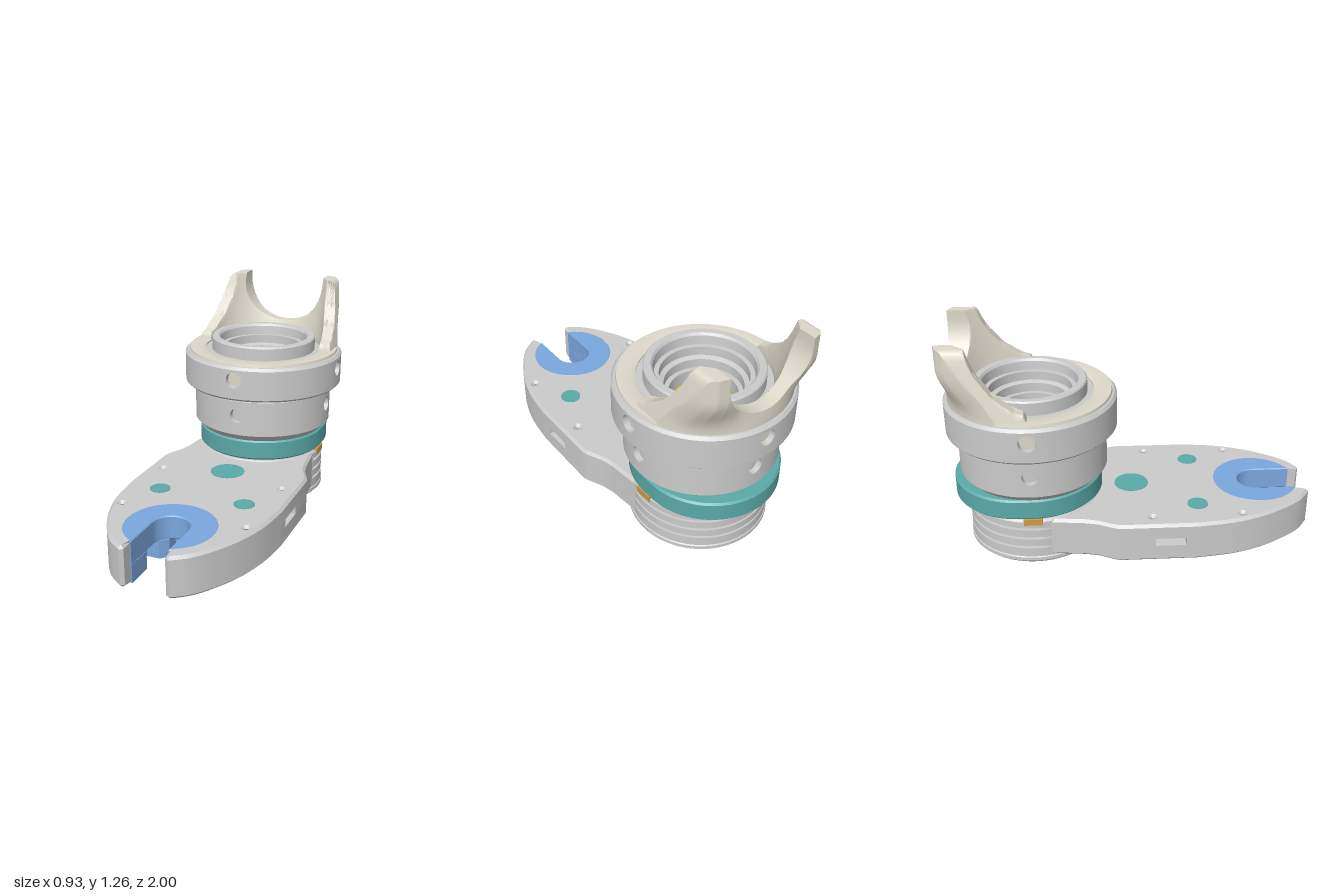
import * as THREE from 'three';
import { toCreasedNormals } from 'three/addons/utils/BufferGeometryUtils.js';

const CZ = -0.54; // z of the tower axis
const mat = (color) => new THREE.MeshStandardMaterial({ color, side: THREE.DoubleSide });
const GREY = mat(0xcccccc), TEAL = mat(0x5aaaa7), BLUE = mat(0x7ba8de), BEIGE = mat(0xddd8ca);
const DARKRED = mat(0x7a181a), RED = mat(0xe23434), YELLOW = mat(0xcbbf3c), ORANGE = mat(0xd39a45);

function mesh(name, geometry, material, parent) {
  const m = new THREE.Mesh(toCreasedNormals(geometry, 0.5), material);
  m.name = name;
  parent.add(m);
  return m;
}

// Plan shape (x, z) extruded between two heights; bevel keeps the outline
function slab(shape, y0, y1, b = 0) {
  const g = new THREE.ExtrudeGeometry(shape, {
    depth: y1 - y0 - 2 * b, bevelEnabled: b > 0, bevelSize: b, bevelThickness: b,
    bevelOffset: -b, bevelSegments: 1, curveSegments: 40,
  });
  return g.rotateX(Math.PI / 2).translate(0, y1 - b, 0);
}

const lathe = (pts, start = 0, length = Math.PI * 2, seg = 96) =>
  new THREE.LatheGeometry(pts.map(([r, y]) => new THREE.Vector2(r, y)), seg, start, length);

function interp(table, x) {
  if (x <= table[0][0]) return table[0][1];
  for (let i = 1; i < table.length; i++) {
    const [a, u] = table[i - 1], [b, v] = table[i];
    if (x <= b) return u + (v - u) * (x - a) / (b - a);
  }
  return table[table.length - 1][1];
}

// Arm outline with keyhole mouth, optional side notches and screw holes
function armShape(notch, holeR) {
  const curve = new THREE.SplineCurve([[0.13, 0.993], [0.22, 0.925], [0.3, 0.815], [0.37, 0.68],
    [0.42, 0.52], [0.445, 0.33]].map((p) => new THREE.Vector2(...p))).getPoints(30).map((v) => [v.x, v.y]);
  const half = [[0.11, 0.9005], [0.11, 0.98], ...curve,
    ...(notch ? [[0.445, 0.27], [0.36, 0.27], [0.36, 0.105], [0.445, 0.105]] : []),
    [0.445, -0.08], [0.435, -0.115], [0.395, -0.2], [0.378, -0.27], [0.362, -0.42]];
  const s = new THREE.Shape();
  half.forEach(([x, z], i) => (i ? s.lineTo(x, z) : s.moveTo(x, z)));
  s.absarc(0, CZ, 0.345, 0, -Math.PI, true);
  [...half].reverse().forEach(([x, z]) => s.lineTo(-x, z));
  s.absarc(0, 0.71, 0.22, Math.PI * 2 / 3, Math.PI * 7 / 3, false);
  for (const [x, z] of [[0.36, 0.095], [0.35, 0.58]])
    for (const k of [-1, 1]) s.holes.push(new THREE.Path().absarc(k * x, z, holeR, 0, Math.PI * 2));
  return s;
}

// Round insert with an open slot, optionally with cross-shaped pockets
function insertShape(cross) {
  const s = new THREE.Shape(), a = Math.asin(0.1 / 0.24), zm = 0.71 + 0.24 * Math.cos(a);
  s.moveTo(0.1, zm);
  s.absarc(0, 0.71, 0.24, Math.PI / 2 - a, Math.PI / 2 + a - Math.PI * 2, true);
  if (cross) {
    const h = [[0.1, 0.78], [0.16, 0.78], [0.16, 0.67], [0.09, 0.67], [0.05, 0.63], [0.05, 0.56], [0.02, 0.56], [0, 0.59]];
    h.forEach(([x, z]) => s.lineTo(-x, z));
    [...h].reverse().forEach(([x, z]) => s.lineTo(x, z));
  } else s.absarc(0, 0.71, 0.1, Math.PI, Math.PI * 2, false);
  return s;
}

// Cylindrical wall with four round side holes and a sleeve behind them
function drilledWall(name, r, y0, y1, holeY, holeR, sleeve, parent) {
  const w = 0.075, a = w / r, depth = 0.03;
  const s = new THREE.Shape();
  s.moveTo(-w, y0);
  for (let i = 1; i <= 8; i++) s.lineTo(-w + w * i / 4, y0);
  for (let i = 0; i <= 8; i++) s.lineTo(w - w * i / 4, y1);
  s.holes.push(new THREE.Path().absarc(0, holeY, holeR, 0, Math.PI * 2));
  const panel = new THREE.ExtrudeGeometry(s, { depth, bevelEnabled: false, curveSegments: 24 });
  const p = panel.attributes.position, n = panel.attributes.normal;
  for (let i = 0; i < p.count; i++) {
    const t = p.getX(i) / r, rr = r - depth + p.getZ(i), nz = n.getZ(i);
    p.setXYZ(i, rr * Math.sin(t), p.getY(i), rr * Math.cos(t));
    if (Math.abs(nz) > 0.5) n.setXYZ(i, Math.sin(t) * nz, 0, Math.cos(t) * nz);
  }
  for (let k = 0; k < 4; k++) {
    const m = new THREE.Mesh(panel, GREY);
    m.name = name + 'HolePanel';
    m.rotation.y = k * Math.PI / 2;
    parent.add(m);
    mesh(name + 'Wall', lathe([[r, y0], [r, y1]], k * Math.PI / 2 + a, Math.PI / 2 - 2 * a, 24), GREY, parent);
  }
  mesh(name + 'Sleeve', lathe([[r - depth, y0], [r - depth, y1]]), sleeve, parent);
}

// Two-horned saddle, lofted over slices in x
function saddleGeometry() {
  const rise = [[0.09, 0.895], [-0.45, 0.905], [-0.6, 0.95], [-0.7, 1.02], [-0.78, 1.125], [-0.81, 1.19], [-0.83, 1.255]]
    .map(([z, y]) => [-z, y]).sort((p, q) => p[0] - q[0]);
  const back = [[0, -0.965], [0.15, -0.967], [0.2, -0.982], [0.25, -0.982], [0.3, -0.968], [0.34, -0.925], [0.37, -0.84], [0.412, -0.7]];
  const crest = [[0.25, 1.255], [0.315, 1.253], [0.335, 1.238], [0.347, 1.2], [0.412, 0.9]];
  const side = [];
  for (let i = 0; i <= 24; i++) side.push([0.25 * Math.sin(i / 24 * Math.PI / 2), 1.215 - 0.25 * Math.cos(i / 24 * Math.PI / 2)]);
  for (let i = 0; i <= 24; i++) { const x = 0.25 + 0.162 * i / 24; side.push([x, interp(crest, x)]); }
  const slices = [...side.slice(1).reverse().map(([x, t]) => [-x, t]), ...side];
  const M = 40, K = 12, L = M + K + 2, pos = [], idx = [];
  for (const [x, top] of slices) {
    const ax = Math.abs(x);
    const zf = CZ - Math.sqrt(Math.max(0, 0.34 ** 2 - x * x)), zBase = CZ - Math.sqrt(0.44 ** 2 - x * x);
    const zAt = (y) => zBase + (interp(back, ax) - zBase) * THREE.MathUtils.smoothstep(y, 0.89, 1.13);
    const zb = zAt(top);
    pos.push(x, 0.885, zf);
    let y = 0;
    for (let i = 0; i <= M; i++) {
      const z = zf + (zb - zf) * i / M;
      y = Math.min(interp(rise, -z), top, 0.9 + (zf - z) * 3);
      pos.push(x, y, z);
    }
    for (let i = 1; i <= K; i++) {
      const yy = y + (0.885 - y) * i / K;
      pos.push(x, yy, zAt(yy));
    }
  }
  for (let s = 0; s < slices.length - 1; s++) for (let i = 0; i < L; i++) {
    const a = s * L + i, b = s * L + (i + 1) % L;
    idx.push(a, a + L, b, b, a + L, b + L);
  }
  const g = new THREE.BufferGeometry();
  g.setAttribute('position', new THREE.Float32BufferAttribute(pos, 3));
  g.setIndex(idx);
  return g;
}

export function createModel() {
  const model = new THREE.Group();
  const arm = new THREE.Group(), tower = new THREE.Group();
  arm.name = 'arm';
  tower.name = 'tower';
  tower.position.z = CZ;
  model.add(arm, tower);

  // Flat arm in layers, the middle one notched, with chamfered faces
  mesh('armLower', slab(armShape(false, 0.02), 0.085, 0.165), GREY, arm);
  mesh('armMiddle', slab(armShape(true, 0.02), 0.165, 0.21), GREY, arm);
  mesh('armUpper', slab(armShape(false, 0.02), 0.21, 0.28), GREY, arm);
  for (const y of [0.085, 0.28]) mesh('armChamfer', slab(armShape(false, 0.012), y - 0.015, y + 0.015, 0.015), GREY, arm);

  // Slotted insert and round pins
  mesh('insertUpper', slab(insertShape(false), 0.165, 0.297, 0.006), BLUE, arm);
  mesh('insertLower', slab(insertShape(true), 0.068, 0.168), BLUE, arm);
  for (const [x, z, r] of [[0, 0, 0.095], [0.245, 0.35, 0.056], [-0.245, 0.35, 0.056]])
    mesh('pin', new THREE.CylinderGeometry(r, r, 0.23, 48).translate(x, 0.1825, z), TEAL, arm);
  for (const k of [-1, 1])
    mesh('clip', new THREE.BoxGeometry(0.06, 0.035, 0.1).translate(k * 0.345, 0.291, CZ), ORANGE, arm);

  // Grooved round end of the arm and foot
  const grooves = [];
  for (const y of [0.13, 0.187, 0.245])
    grooves.push([0.37, y - 0.007], [0.35, y - 0.007], [0.35, y + 0.007], [0.37, y + 0.007]);
  mesh('groovedHub', lathe([[0, 0.03], [0.36, 0.03], [0.375, 0.045], [0.375, 0.065], [0.37, 0.07], ...grooves,
    [0.37, 0.288], [0.36, 0.3], [0.35, 0.3], [0.35, 0.32], [0, 0.32]]), GREY, tower);
  mesh('footPlate', lathe([[0, 0], [0.25, 0], [0.345, 0.027], [0.35, 0.035], [0, 0.035]]), DARKRED, tower);
  for (const [x, z] of [[0, 0], [0.13, 0.13], [-0.13, 0.13], [0.13, -0.13], [-0.13, -0.13]])
    mesh('footScrew', new THREE.CylinderGeometry(0.022, 0.022, 0.01, 24).translate(x, 0.003, z), RED, tower);

  // Eccentric disc
  const cam = new THREE.Shape();
  cam.absarc(0, 0, 0.375, 0, Math.PI, false);
  cam.absarc(0, -0.065, 0.375, Math.PI, Math.PI * 2, false);
  mesh('eccentricDisc', slab(cam, 0.31, 0.427, 0.01), TEAL, tower);

  // Lower collar and upper ring
  mesh('collarBase', lathe([[0, 0.425], [0.365, 0.425], [0.405, 0.467]]), GREY, tower);
  drilledWall('collar', 0.405, 0.467, 0.67, 0.583, 0.043, GREY, tower);
  mesh('collarTop', lathe([[0.405, 0.67], [0.395, 0.68], [0.365, 0.68], [0.365, 0.69], [0.45, 0.69], [0.463, 0.703]]), GREY, tower);
  drilledWall('ring', 0.463, 0.703, 0.87, 0.81, 0.045, BEIGE, tower);
  mesh('ringTop', lathe([[0.463, 0.87], [0.45, 0.886], [0.3, 0.886]]), GREY, tower);

  // Saddle with two horns
  mesh('saddleRing', lathe([[0.44, 0.88], [0.435, 0.9], [0.36, 0.902], [0.34, 0.893], [0.34, 0.88]]), BEIGE, tower);
  mesh('saddleHorns', saddleGeometry(), BEIGE, model);

  // Stepped cup with the central fitting
  mesh('cup', lathe([[0.305, 0.88], [0.305, 0.955], [0.298, 0.963], [0.265, 0.963], [0.255, 0.95], [0.25, 0.9], [0.225, 0.9],
    [0.225, 0.85], [0.2, 0.84], [0.2, 0.79], [0.175, 0.79], [0.175, 0.7], [0, 0.7]]), GREY, tower);
  mesh('bushing', lathe([[0.16, 0.7], [0.16, 0.735], [0.15, 0.745], [0.115, 0.745], [0.105, 0.735], [0.105, 0.7]]), YELLOW, tower);
  mesh('squareDrive', new THREE.BoxGeometry(0.18, 0.05, 0.18).translate(0, 0.73, 0), GREY, tower);
  mesh('centreBolt', lathe([[0.095, 0.74], [0.095, 0.765], [0.088, 0.772], [0.034, 0.772], [0.028, 0.75], [0, 0.745]]), RED, tower);
  return model;
}
